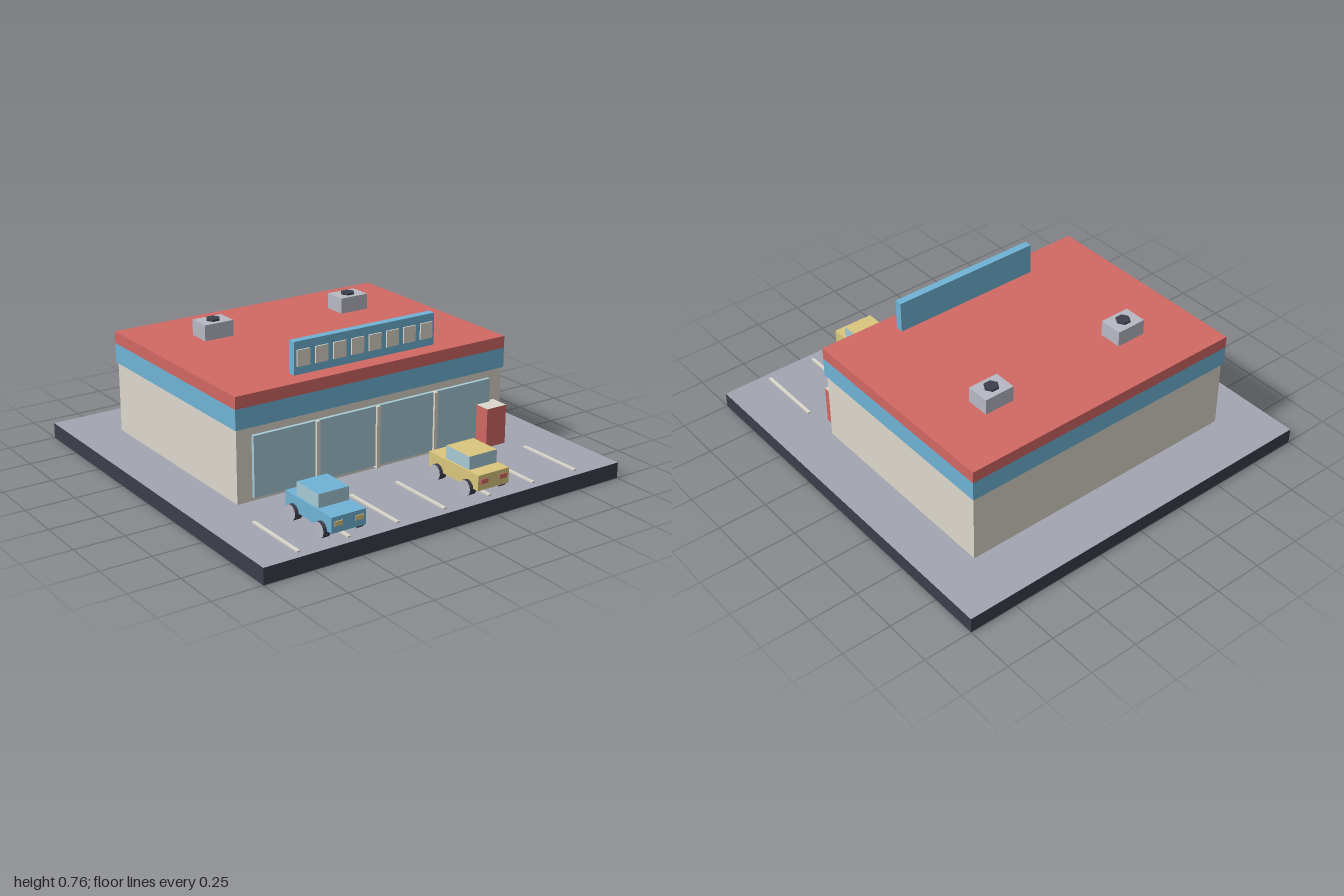
import * as THREE from 'three';

const paint = (color) => new THREE.MeshStandardMaterial({ color });
const M = {
  blue: paint(0x6fb3d5), red: paint(0xd26863), cream: paint(0xddd8cd), glass: paint(0xa6cad6),
  yellow: paint(0xdac67d), dark: paint(0x3b3f4a), asphalt: paint(0xa2a6b0), metal: paint(0xb8b8c4),
};

// Box given by its min and max on each axis; an optional second material covers the top
function box(parent, name, [x0, x1], [y0, y1], [z0, z1], side, top = side) {
  const mesh = new THREE.Mesh(
    new THREE.BoxGeometry(x1 - x0, y1 - y0, z1 - z0),
    top === side ? side : [side, side, top, side, side, side]);
  mesh.position.set((x0 + x1) / 2, (y0 + y1) / 2, (z0 + z1) / 2);
  mesh.name = name;
  parent.add(mesh);
  return mesh;
}

const around = (c, w) => [c - w / 2, c + w / 2];

// Car facing +z, standing on y = 0
function makeCar(name, body) {
  const car = new THREE.Group();
  car.name = name;
  box(car, 'body', [-0.09, 0.09], [0.04, 0.115], [-0.18, 0.18], body);
  box(car, 'cabin', [-0.08, 0.08], [0.115, 0.18], around(-0.018, 0.17), M.glass, body);
  const tyre = new THREE.CylinderGeometry(0.0375, 0.0375, 0.04, 12).rotateZ(Math.PI / 2);
  for (const s of [-1, 1]) {
    box(car, 'headlight', around(s * 0.055, 0.042), [0.072, 0.094], [0.17, 0.185], M.yellow);
    box(car, 'tailLight', around(s * 0.055, 0.042), [0.072, 0.094], [-0.185, -0.17], M.red);
    for (const z of [-0.11, 0.11]) {
      const wheel = new THREE.Mesh(tyre, [M.dark, M.metal, M.metal]);
      wheel.material.forEach((m) => { m.flatShading = true; });
      wheel.position.set(s * 0.089, 0.0375, z);
      wheel.name = 'wheel';
      car.add(wheel);
    }
  }
  return car;
}

export function createModel() {
  const model = new THREE.Group();
  model.name = 'roadsideShop';

  // Ground slab and parking stripes
  box(model, 'lot', [-1, 1], [0, 0.08], [-1, 1], M.dark, M.asphalt);
  for (let i = 0; i < 7; i++) {
    box(model, 'parkingStripe', around(-0.8 + i * 0.26, 0.016), [0.08, 0.088], [0.6, 0.96], M.cream);
  }

  // Building with its two fascia bands; the upper one closes the roof
  box(model, 'walls', [-0.76, 0.76], [0.08, 0.5], [-0.72, 0.4], M.cream);
  box(model, 'lowerBand', [-0.768, 0.768], [0.44, 0.54], [-0.73, 0.41], M.blue);
  box(model, 'roofBand', [-0.768, 0.768], [0.54, 0.6], [-0.73, 0.41], M.red);

  // Shop window and mullions
  box(model, 'shopWindow', [-0.68, 0.68], [0.1, 0.4], [0.39, 0.418], M.glass);
  for (const x of [-0.34, 0, 0.34]) {
    box(model, 'mullion', around(x, 0.02), [0.09, 0.4], [0.4, 0.43], M.cream);
  }

  // Vending cabinet by the front wall
  box(model, 'cabinet', [0.6, 0.718], [0.08, 0.28], [0.4, 0.5], M.red, M.cream);

  // Roof sign with blank tiles
  box(model, 'signBoard', [-0.4, 0.4], [0.6, 0.76], [0.28, 0.32], M.blue);
  for (let i = 0; i < 8; i++) {
    box(model, 'signTile', around(-0.35 + i * 0.1, 0.07), [0.64, 0.72], [0.31, 0.328], M.cream);
  }

  // Rooftop ventilation units
  for (const x of [-0.4, 0.4]) {
    box(model, 'ventUnit', around(x, 0.16), [0.6, 0.68], [-0.46, -0.34], M.metal);
    const fan = new THREE.Mesh(new THREE.CylinderGeometry(0.037, 0.037, 0.02, 6).rotateY(Math.PI / 6), M.dark);
    fan.position.set(x, 0.68, -0.4);
    fan.name = 'ventFan';
    model.add(fan);
  }

  // Parked cars, one nose out and one nose in
  const blueCar = makeCar('blueCar', M.blue);
  blueCar.position.set(-0.543, 0.08, 0.78);
  const yellowCar = makeCar('yellowCar', M.yellow);
  yellowCar.position.set(0.258, 0.08, 0.78);
  yellowCar.rotation.y = Math.PI;
  model.add(blueCar, yellowCar);

  return model;
}
